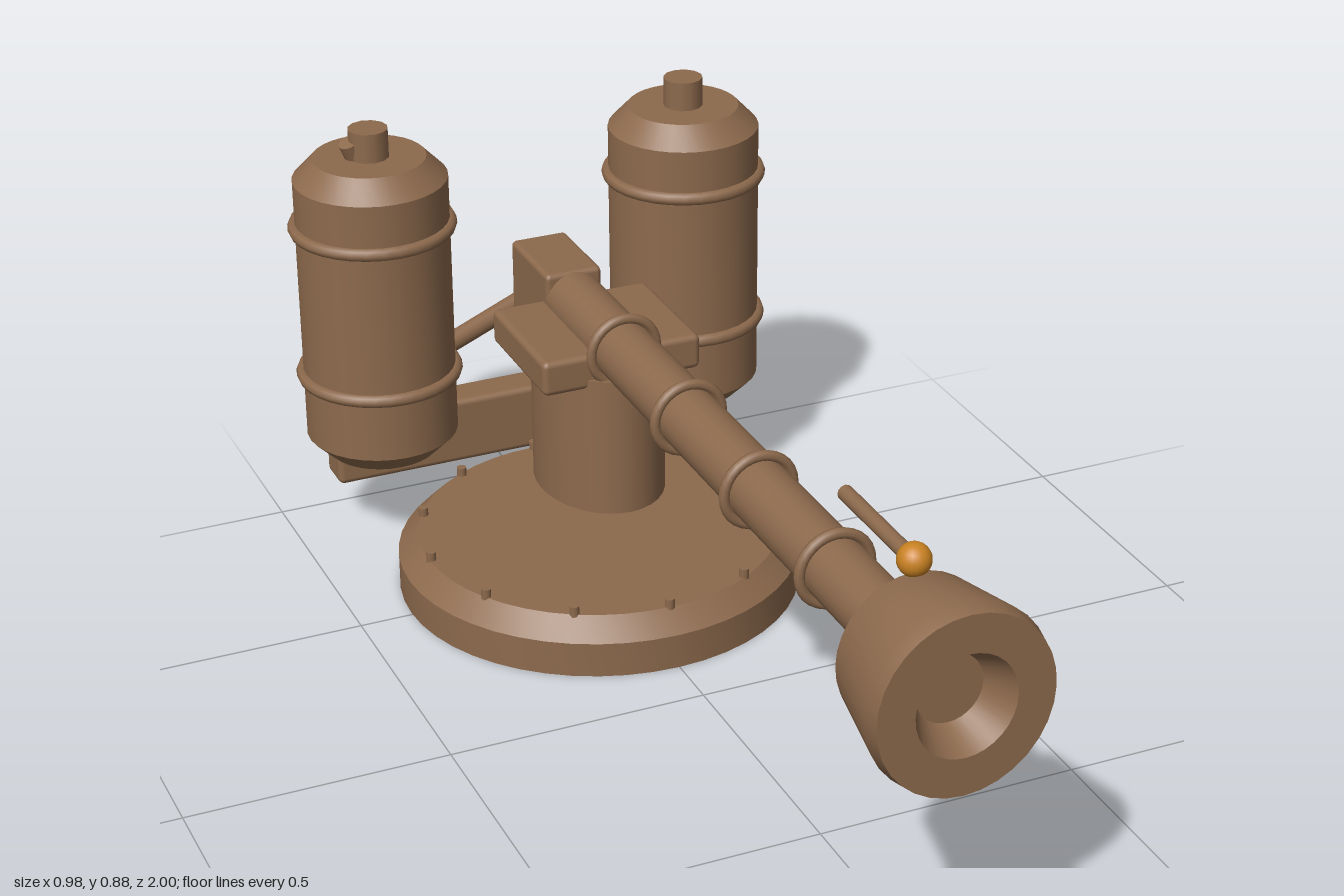
import * as THREE from 'three';
import { toCreasedNormals } from 'three/addons/utils/BufferGeometryUtils.js';
import { RoundedBoxGeometry } from 'three/addons/geometries/RoundedBoxGeometry.js';

const bronze = new THREE.MeshStandardMaterial({ color: 0x8d6a4d });
bronze.name = 'bronze';
const amber = new THREE.MeshStandardMaterial({ color: 0xc98222 });
amber.name = 'amber';

export function createModel() {
  const model = new THREE.Group();
  model.name = 'tankCannon';

  function add(parent, name, geometry, x = 0, y = 0, z = 0, material = bronze) {
    const mesh = new THREE.Mesh(geometry, material);
    mesh.name = name;
    mesh.position.set(x, y, z);
    parent.add(mesh);
    return mesh;
  }

  // Turned solid from [radius, height] pairs, listed bottom to top
  function turned(profile, segments = 32) {
    const points = profile.map(([r, h]) => new THREE.Vector2(r, h));
    return toCreasedNormals(new THREE.LatheGeometry(points, segments), 0.6);
  }

  // Straight round bar between two points
  function bar(parent, name, a, b, radius) {
    const from = new THREE.Vector3(...a), to = new THREE.Vector3(...b);
    const direction = to.clone().sub(from);
    const mesh = add(parent, name, new THREE.CylinderGeometry(radius, radius, direction.length(), 12));
    mesh.position.copy(from).add(to).multiplyScalar(0.5);
    mesh.quaternion.setFromUnitVectors(new THREE.Vector3(0, 1, 0), direction.normalize());
  }

  // Round base plate with a ring of bolts
  const base = new THREE.Group();
  base.name = 'base';
  base.position.z = -0.505;
  model.add(base);
  add(base, 'basePlate', turned([[0, 0], [0.395, 0], [0.395, 0.07], [0.355, 0.11], [0, 0.11]], 48));
  for (let i = 0; i < 12; i++) {
    const a = i * Math.PI / 6;
    add(base, 'bolt', new THREE.CylinderGeometry(0.01, 0.01, 0.03, 8),
      0.35 * Math.sin(a), 0.112, 0.35 * Math.cos(a));
  }

  // Oval pedestal, saddle and breech block
  const pedestal = new THREE.CylinderGeometry(1, 1, 0.28, 32);
  pedestal.scale(0.122, 1, 0.162);
  add(model, 'pedestal', pedestal, 0, 0.36, -0.5);
  add(model, 'saddle', new RoundedBoxGeometry(0.32, 0.07, 0.27, 2, 0.012), 0, 0.515, -0.505);
  add(model, 'breechBlock', new RoundedBoxGeometry(0.115, 0.18, 0.19, 2, 0.01), 0, 0.52, -0.705);

  // Barrel with reinforcing rings
  const barrel = new THREE.CylinderGeometry(0.058, 0.058, 1.42, 24);
  barrel.rotateX(Math.PI / 2);
  add(model, 'barrel', barrel, 0, 0.55, 0.06);
  for (const z of [0.535, 0.235, -0.065, -0.365]) {
    add(model, 'barrelRing', new THREE.TorusGeometry(0.066, 0.01, 8, 28), 0, 0.55, z);
  }

  // Flared muzzle with a recessed bore
  const muzzle = turned([
    [0, 0.75], [0.06, 0.75], [0.134, 0.81], [0.163, 0.97], [0.157, 1],
    [0.09, 1], [0.06, 0.94], [0, 0.94],
  ], 32);
  muzzle.rotateX(Math.PI / 2);
  muzzle.scale(1, 1.045, 1);
  add(model, 'muzzle', muzzle, 0, 0.547, 0);

  // Sight bead and its rod
  bar(model, 'sightRod', [0, 0.708, 0.565], [0, 0.708, 0.81], 0.014);
  add(model, 'sightBead', new THREE.SphereGeometry(0.029, 20, 14), 0, 0.71, 0.81, amber);

  // Pair of banded tanks with filler caps
  for (const side of [-1, 1]) {
    const tank = new THREE.Group();
    tank.name = side > 0 ? 'leftTank' : 'rightTank';
    tank.position.set(side * 0.328, 0, -0.835);
    model.add(tank);
    add(tank, 'tankBody', turned([
      [0, 0.2], [0.11, 0.2], [0.15, 0.24], [0.15, 0.778], [0.11, 0.82], [0, 0.82],
    ]));
    add(tank, 'tankCap', new THREE.CylinderGeometry(0.039, 0.039, 0.07, 12), 0, 0.843, 0);
    for (const y of [0.37, 0.68]) {
      const band = new THREE.TorusGeometry(0.151, 0.013, 8, 32);
      band.rotateX(Math.PI / 2);
      add(tank, 'tankBand', band, 0, y, 0);
    }
  }

  // Rear cross beam below the tanks
  add(model, 'crossBeam', new RoundedBoxGeometry(0.82, 0.138, 0.08, 2, 0.012), 0, 0.17, -0.917);

  // Bent feed pipe from the breech to the right tank
  const elbow = [-0.155, 0.352, -0.915];
  bar(model, 'feedPipeLower', [0, 0.5, -0.79], elbow, 0.02);
  bar(model, 'feedPipeUpper', elbow, [-0.368, 0.855, -0.835], 0.02);
  add(model, 'feedPipeElbow', new THREE.SphereGeometry(0.02, 12, 8), ...elbow);

  return model;
}
